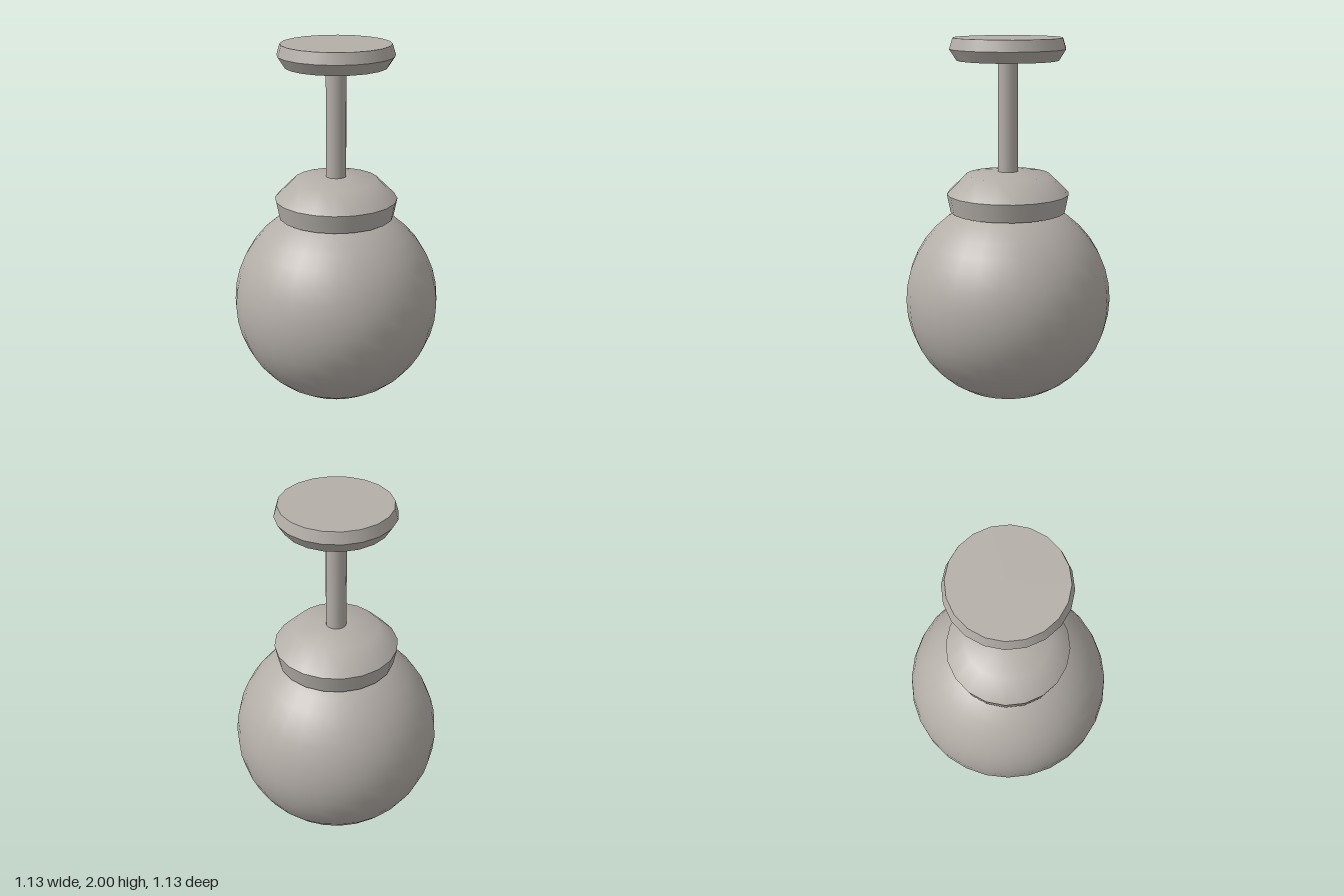
import * as THREE from 'three';
import { mergeGeometries } from 'three/addons/utils/BufferGeometryUtils.js';

// Turned part: each band is smooth in itself, with a sharp edge between bands.
// Profiles run from bottom to top as [radius, y] points.
function turned(name, bands, segments, material) {
  const parts = bands.map((band) =>
    new THREE.LatheGeometry(band.map(([r, y]) => new THREE.Vector2(r, y)), segments));
  const mesh = new THREE.Mesh(mergeGeometries(parts), material);
  mesh.name = name;
  return mesh;
}

export function createModel() {
  const group = new THREE.Group();
  group.name = 'pendantLamp';
  const grey = new THREE.MeshStandardMaterial({ color: 0xb4aea8 });
  grey.name = 'warm grey';

  // Round globe shade
  const globe = new THREE.Mesh(new THREE.SphereGeometry(0.567, 28, 20), grey);
  globe.name = 'globeShade';
  globe.position.y = 0.567;
  group.add(globe);

  // Collar that holds the globe: underside, flared rim, domed top
  group.add(turned('globeCollar', [
    [[0, 1.06], [0.315, 1.06]],
    [[0.315, 1.06], [0.335, 1.16]],
    [[0.335, 1.16], [0.23, 1.265], [0.055, 1.282], [0, 1.282]],
  ], 20, grey));

  // Hanging rod
  const rod = new THREE.Mesh(new THREE.CylinderGeometry(0.055, 0.055, 0.63, 16), grey);
  rod.name = 'hangingRod';
  rod.position.y = 1.575;
  group.add(rod);

  // Ceiling plate: underside, two bevels, flat top
  group.add(turned('ceilingPlate', [
    [[0, 1.88], [0.275, 1.88]],
    [[0.275, 1.88], [0.313, 1.94]],
    [[0.313, 1.94], [0.295, 2]],
    [[0.295, 2], [0, 2]],
  ], 20, grey));

  return group;
}
